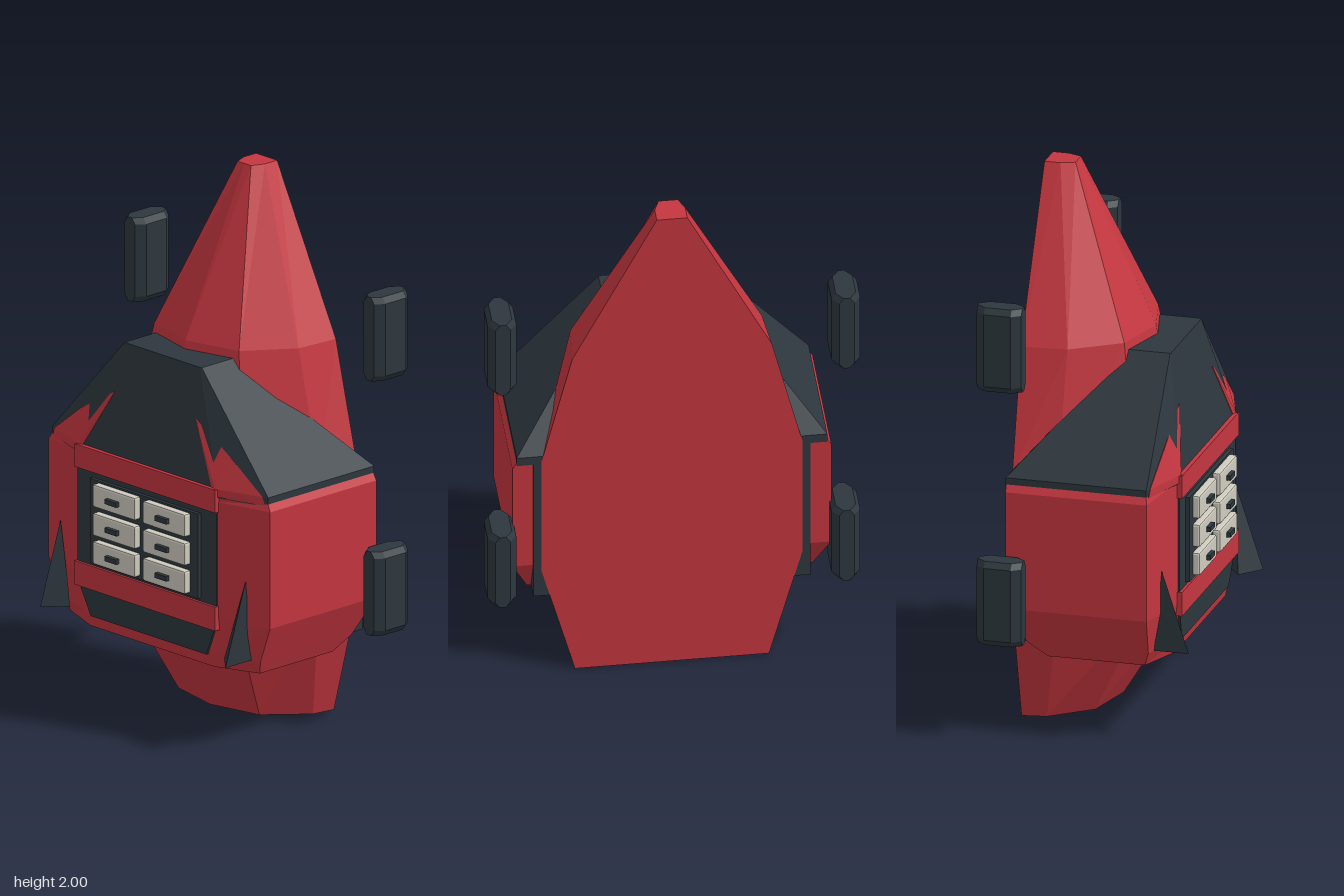
import * as THREE from 'three';
import { ConvexGeometry } from 'three/addons/geometries/ConvexGeometry.js';
import { RoundedBoxGeometry } from 'three/addons/geometries/RoundedBoxGeometry.js';

const mat = (name, color) => {
  const m = new THREE.MeshStandardMaterial({ color, flatShading: true });
  m.name = name;
  return m;
};

// Full ring from half a ring listed from back to front on the +x side
const mirrorRing = half => [
  ...half,
  ...half.filter(p => p[0] !== 0).reverse().map(([x, z]) => [-x, z]),
];

// Closed solid through horizontal rings: sections are [y, halfRing]
function loft(sections) {
  const pos = [];
  const rings = sections.map(([y, half]) =>
    mirrorRing(half).map(([x, z]) => [x, y, z]));
  const tri = (...pts) => pts.forEach(p => pos.push(...p));
  const n = rings[0].length;
  for (let s = 0; s < rings.length - 1; s++) {
    for (let i = 0; i < n; i++) {
      const j = (i + 1) % n, lo = rings[s], hi = rings[s + 1];
      tri(lo[i], hi[i], lo[j]);
      tri(lo[j], hi[i], hi[j]);
    }
  }
  const first = rings[0], last = rings[rings.length - 1];
  for (let i = 1; i < n - 1; i++) {
    tri(first[0], first[i], first[i + 1]);
    tri(last[0], last[i + 1], last[i]);
  }
  const g = new THREE.BufferGeometry();
  g.setAttribute('position', new THREE.Float32BufferAttribute(pos, 3));
  g.computeVertexNormals();
  return g;
}

const hull = pts => new ConvexGeometry(pts.map(p => new THREE.Vector3(...p)));

export function createModel() {
  const red = mat('redPaint', 0xc4363f);
  const dark = mat('darkSlate', 0x2d373e);
  const cream = mat('creamPanel', 0xd0ccc0);
  const model = new THREE.Group();

  const add = (name, geo, material, x = 0, y = 0, z = 0, parent = model) => {
    const m = new THREE.Mesh(geo, material);
    m.name = name;
    m.position.set(x, y, z);
    parent.add(m);
    return m;
  };
  const box = (name, material, w, h, d, x, y, z, parent) =>
    add(name, new THREE.BoxGeometry(w, h, d), material, x, y, z, parent);

  // Long faceted hull with a flat back
  add('mainHull', loft([
    [0, [[0.35, -0.29], [0.335, -0.2], [0.21, -0.055], [0, -0.01]]],
    [0.45, [[0.47, -0.29], [0.44, -0.13], [0.32, 0.17], [0, 0.27]]],
    [0.95, [[0.47, -0.29], [0.44, -0.13], [0.3, 0.12], [0, 0.2]]],
    [1.4, [[0.36, -0.29], [0.345, -0.12], [0.22, 0.055], [0, 0.11]]],
    [2, [[0.055, -0.29], [0.055, -0.23], [0.035, -0.18], [0, -0.18]]],
  ]), red);

  // Red cabin with tapered lower edge
  const waist = [[0.575, -0.285], [0.575, 0.24], [0.36, 0.295]];
  add('cabin', loft([
    [0.285, [[0.49, -0.15], [0.49, 0.21], [0.32, 0.275]]],
    [0.34, [[0.515, -0.22], [0.515, 0.23], [0.34, 0.285]]],
    [0.48, waist],
    [0.92, waist],
    [0.945, [[0.56, -0.285], [0.56, 0.235], [0.36, 0.295]]],
  ]), red);
  box('cabinCore', dark, 1.0, 0.61, 0.2, 0, 0.645, -0.188);

  // Dark sloping roof
  const eaves = [[0.56, -0.288], [0.56, 0.235], [0.36, 0.297]];
  add('roof', loft([
    [0.935, eaves],
    [0.97, eaves],
    [1.37, [[0.2, 0.065], [0.2, 0.22], [0.195, 0.222]]],
  ]), dark);

  // Front panels and bars
  box('drawerBay', dark, 0.72, 0.36, 0.02, 0, 0.705, 0.291);
  box('upperBar', red, 0.73, 0.085, 0.06, 0, 0.925, 0.282);
  box('upperBarLip', red, 0.71, 0.03, 0.03, 0, 0.955, 0.298);
  box('lowerBar', red, 0.73, 0.09, 0.06, 0, 0.483, 0.282);
  add('lowerPanel', hull([0.27, 0.3].flatMap(z => [-1, 1].flatMap(s =>
    [[0.35 * s, 0.44, z], [0.3 * s, 0.33, z - 0.007]]))), dark);
  box('drawerFrame', dark, 0.56, 0.32, 0.02, 0, 0.7, 0.306);

  // Two columns of three drawers
  for (const x of [-0.13, 0.13]) {
    for (const y of [0.595, 0.702, 0.81]) {
      const drawer = new THREE.Group();
      drawer.name = 'drawer';
      drawer.position.set(x, y, 0.326);
      model.add(drawer);
      add('drawerFront', new RoundedBoxGeometry(0.22, 0.086, 0.034, 1, 0.008), cream, 0, 0, 0, drawer);
      box('drawerHandle', dark, 0.06, 0.018, 0.018, 0, 0, 0.023, drawer);
    }
  }

  // Chamfered wheel block
  const block = h => [[h - 0.025, -0.083], [h, -0.05], [h, 0.05], [h - 0.025, 0.083]];
  const wheelGeo = loft([
    [-0.158, block(0.036)], [-0.136, block(0.052)],
    [0.136, block(0.052)], [0.158, block(0.036)],
  ]);

  for (const s of [-1, 1]) {
    for (const y of [0.523, 1.483]) add('wheel', wheelGeo, dark, 0.62 * s, y, -0.288);
    // Red spike running up the roof corner
    add('roofSpike', hull([
      [0.21 * s, 1.19, 0.259], [0.39 * s, 1.085, 0.257], [0.55 * s, 0.94, 0.242],
      [0.54 * s, 0.97, 0.244], [0.35 * s, 0.94, 0.305], [0.355 * s, 0.97, 0.304],
      [0.4 * s, 0.95, 0.15],
    ]), red);
    // Small pointed bumper fin
    add('bumperFin', hull([
      [0.48 * s, 0.645, 0.27], [0.48 * s, 0.34, 0.37], [0.4 * s, 0.34, 0.3],
      [0.42 * s, 0.42, 0.29], [0.48 * s, 0.34, 0.24],
    ]), dark);
  }
  return model;
}
